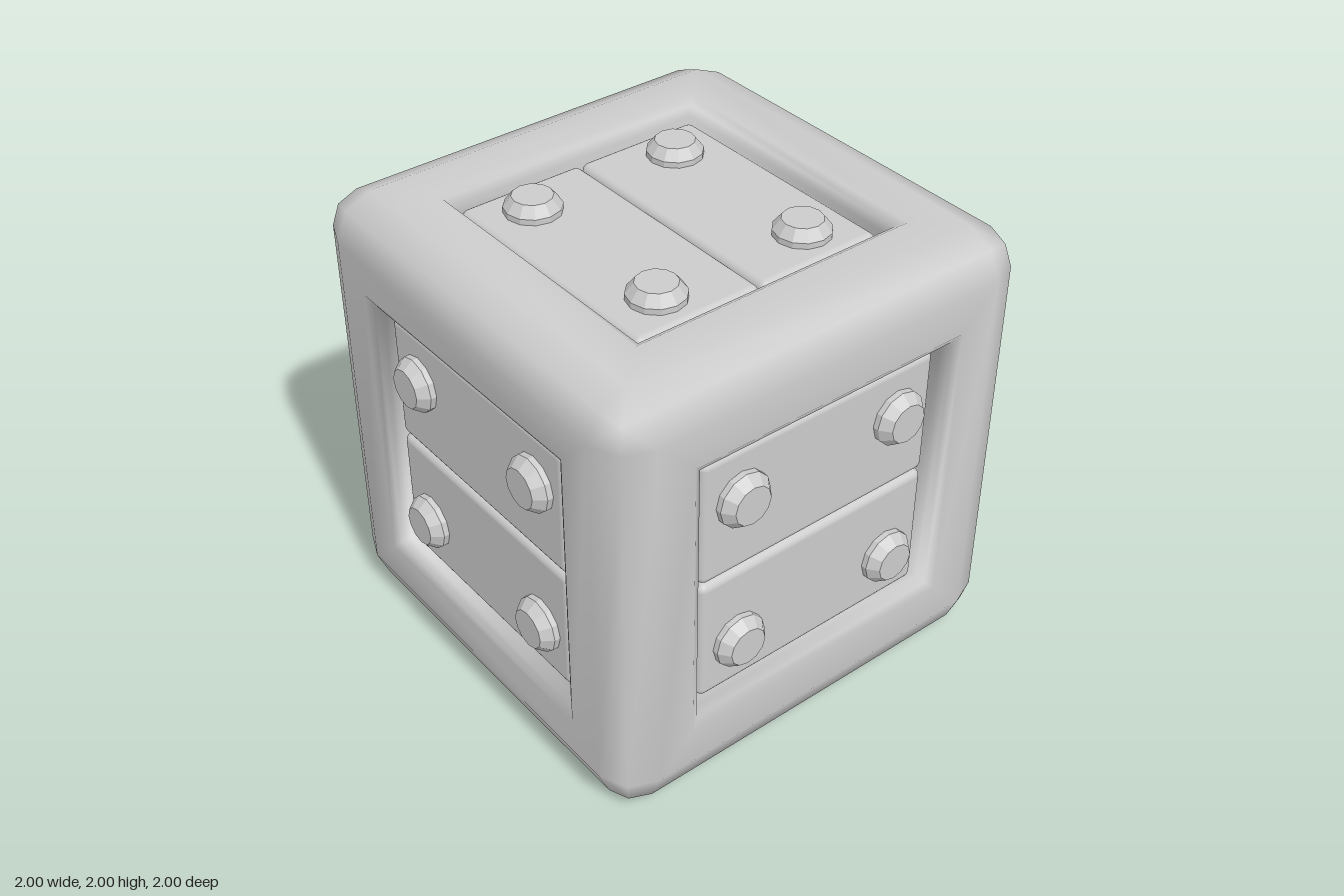
import * as THREE from 'three';
import { mergeGeometries, mergeVertices } from 'three/addons/utils/BufferGeometryUtils.js';
import { RoundedBoxGeometry } from 'three/addons/geometries/RoundedBoxGeometry.js';

const HALF = 0.993;   // frame half size
const CORE = 0.82;    // where the edge rounding starts
const FLOOR = 0.86;   // recess floor

// Rotations carrying the +z face to all six sides
const SIDES = {
  front: [0, 0], right: [0, Math.PI / 2], back: [0, Math.PI], left: [0, -Math.PI / 2],
  top: [-Math.PI / 2, 0], bottom: [Math.PI / 2, 0],
};

// Square ring of 12 points: corners plus two points along each side
function ring(r, h) {
  const k = Math.min(r, CORE), pts = [];
  for (let s = 0; s < 4; s++) {
    for (const t of [-r, -k, k]) {
      const p = new THREE.Vector3(t, -r, h)
        .applyAxisAngle(new THREE.Vector3(0, 0, 1), s * Math.PI / 2);
      // Round everything that lies outside the core box
      const c = p.clone().clampScalar(-CORE, CORE);
      if (r > CORE) p.sub(c).setLength(HALF - CORE).add(c);
      pts.push(p);
    }
  }
  return pts;
}

// One side of the frame: recess wall, lip, flat border and half of the rounded edge
function frameSide() {
  const profile = [[0.595, FLOOR], [0.603, 0.93], [0.62, 0.968], [0.655, 0.99], [CORE, HALF], [HALF, HALF]];
  const rings = profile.map(([r, h]) => ring(r, h));
  const pos = rings.flat().flatMap(p => p.toArray());
  const index = [];
  for (let i = 0; i < rings.length - 1; i++) {
    for (let j = 0; j < 12; j++) {
      const a = i * 12 + j, b = i * 12 + (j + 1) % 12;
      index.push(a, a + 12, b + 12, a, b + 12, b);
    }
  }
  const g = new THREE.BufferGeometry();
  g.setAttribute('position', new THREE.Float32BufferAttribute(pos, 3));
  g.setIndex(index);
  return g;
}

export function createModel() {
  const model = new THREE.Group();
  model.name = 'crate';
  const smooth = new THREE.MeshStandardMaterial({ color: 0xcccccc });
  const faceted = new THREE.MeshStandardMaterial({ color: 0xcccccc, flatShading: true });

  const add = (parent, name, geometry, material, x, y, z) => {
    const mesh = new THREE.Mesh(geometry, material);
    mesh.name = name;
    mesh.position.set(x, y, z);
    parent.add(mesh);
  };

  // Rounded frame, welded over all six sides for smooth shading
  const pieces = Object.values(SIDES).map(([rx, ry]) => frameSide().rotateX(rx).rotateY(ry));
  const frameGeometry = mergeVertices(mergeGeometries(pieces), 1e-4);
  frameGeometry.computeVertexNormals();
  add(model, 'frame', frameGeometry, smooth, 0, 1, 0);

  // Shared parts of a side
  const floorGeometry = new THREE.PlaneGeometry(1.2, 1.2);
  const panelGeometry = new RoundedBoxGeometry(1.15, 0.58, 0.12, 3, 0.035);
  const studProfile = [[0.12, 0], [0.12, 0.035], [0.085, 0.08], [0, 0.08]]
    .map(([x, y]) => new THREE.Vector2(x, y));
  const studGeometry = new THREE.LatheGeometry(studProfile, 12).rotateX(Math.PI / 2);

  for (const [name, [rx, ry]] of Object.entries(SIDES)) {
    const side = new THREE.Group();
    side.name = name + 'Side';
    side.position.y = 1;
    side.rotation.set(rx, ry, 0);
    add(side, 'recessFloor', floorGeometry, smooth, 0, 0, FLOOR);
    for (const v of [1, -1]) {
      add(side, 'panel', panelGeometry, smooth, 0, v * 0.293, 0.87);
      for (const u of [-1, 1]) add(side, 'stud', studGeometry, faceted, u * 0.39, v * 0.355, 0.92);
    }
    model.add(side);
  }
  return model;
}
